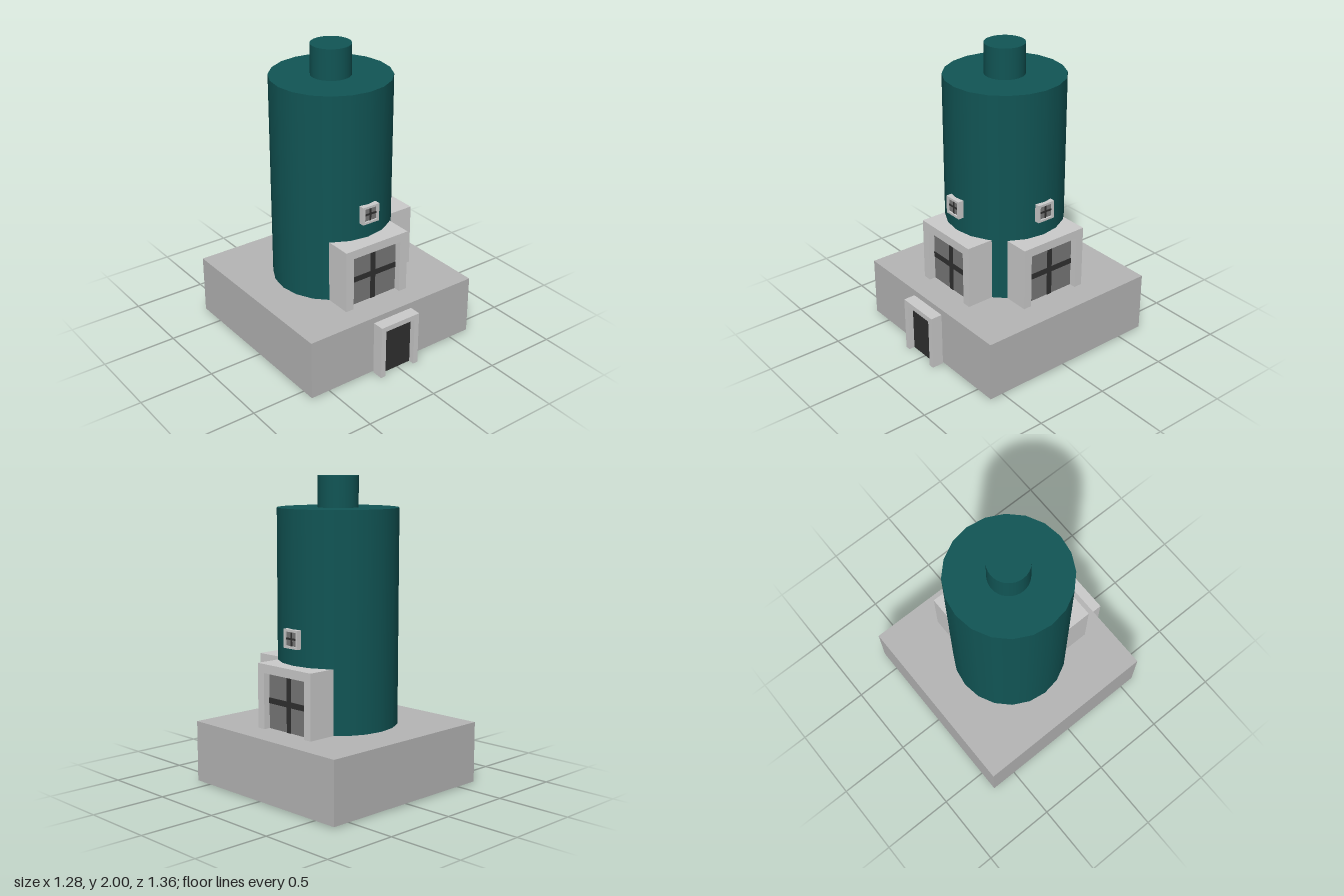
import * as THREE from 'three';

const mat = (color) => new THREE.MeshStandardMaterial({ color });

export function createModel() {
  const model = new THREE.Group();
  model.name = 'tower';
  const teal = mat(0x115555), stone = mat(0xb6b6b6), trim = mat(0xcccccc);
  const dark = mat(0x303030), glass = mat(0x787878);

  function add(parent, name, geometry, material, x, y, z) {
    const mesh = new THREE.Mesh(geometry, material);
    mesh.name = name;
    mesh.position.set(x, y, z);
    parent.add(mesh);
    return mesh;
  }
  const box = (w, h, d) => new THREE.BoxGeometry(w, h, d);

  // Frame whose outer face lies at local z = 0; sill = 0 leaves the foot open
  function frame(w, h, border, sill, depth) {
    const o = w / 2, i = o - border, top = h - border;
    let shape;
    if (sill > 0) {
      shape = new THREE.Shape([[-o, 0], [o, 0], [o, h], [-o, h]].map((p) => new THREE.Vector2(...p)));
      shape.holes.push(new THREE.Path([[-i, sill], [-i, top], [i, top], [i, sill]].map((p) => new THREE.Vector2(...p))));
    } else {
      shape = new THREE.Shape([[-o, 0], [-i, 0], [-i, top], [i, top], [i, 0], [o, 0], [o, h], [-o, h]]
        .map((p) => new THREE.Vector2(...p)));
    }
    return new THREE.ExtrudeGeometry(shape, { depth, bevelEnabled: false }).translate(0, 0, -depth);
  }

  // Framed window: pane and cross bars set back inside the frame
  function framedWindow(name, { w, h, border, sill, depth, recess, bar }) {
    const g = new THREE.Group();
    g.name = name;
    const iw = w - 2 * border, ih = h - border - sill, cy = sill + ih / 2;
    add(g, 'windowFrame', frame(w, h, border, sill, depth), trim, 0, 0, 0);
    add(g, 'pane', box(iw, ih, 0.01), glass, 0, cy, -recess - 0.005);
    add(g, 'verticalBar', box(bar, ih, 0.008), dark, 0, cy, -recess);
    add(g, 'horizontalBar', box(iw, bar, 0.008), dark, 0, cy, -recess);
    model.add(g);
    return g;
  }

  // Square base and round tower with its cap
  add(model, 'base', box(1.28, 0.4, 1.28), stone, 0, 0.21, -0.04);
  add(model, 'towerBody', new THREE.CylinderGeometry(0.39, 0.39, 1.39, 20), teal, -0.02, 1.105, -0.04);
  add(model, 'chimney', new THREE.CylinderGeometry(0.13, 0.13, 0.2, 32), teal, -0.02, 1.9, -0.04);

  // Doorway in front of the base
  add(model, 'doorFrame', frame(0.3, 0.37, 0.035, 0, 0.08), trim, -0.01, 0, 0.68);
  add(model, 'door', box(0.23, 0.335, 0.04), dark, -0.01, 0.1675, 0.62);

  // Large bays and small windows on the front and the left side
  const bay = { w: 0.485, h: 0.42, border: 0.058, sill: 0, depth: 0.22, recess: 0.045, bar: 0.037 };
  const small = { w: 0.125, h: 0.12, border: 0.015, sill: 0.015, depth: 0.05, recess: 0.012, bar: 0.012 };
  framedWindow('frontBay', bay).position.set(-0.018, 0.41, 0.445);
  framedWindow('frontSmallWindow', small).position.set(-0.02, 0.94, 0.38);
  const sideBay = framedWindow('sideBay', bay);
  sideBay.position.set(0.463, 0.41, -0.052);
  const sideSmall = framedWindow('sideSmallWindow', small);
  sideSmall.position.set(0.395, 0.94, -0.04);
  sideBay.rotation.y = sideSmall.rotation.y = Math.PI / 2;

  return model;
}
